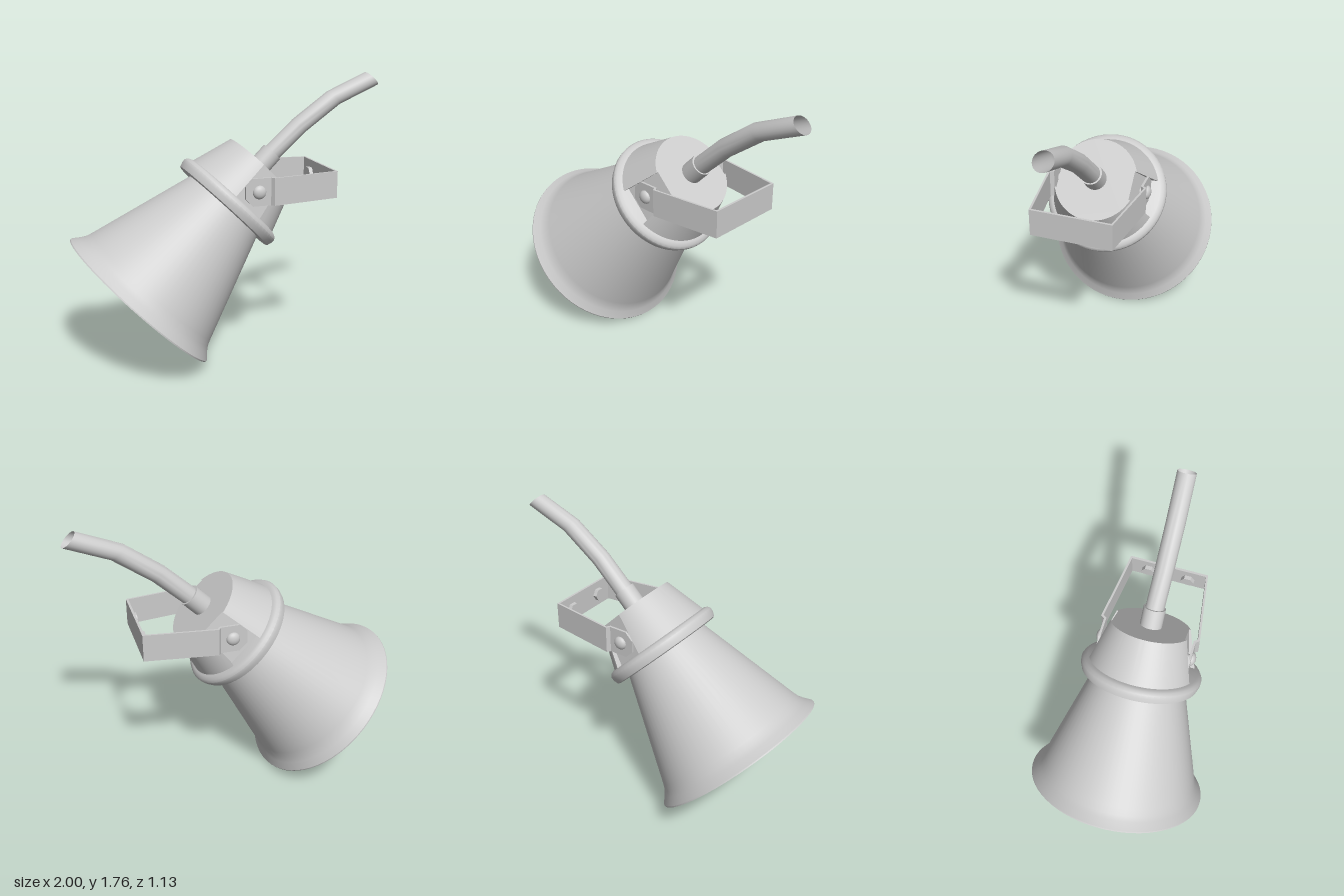
import * as THREE from 'three';
import { toCreasedNormals } from 'three/addons/utils/BufferGeometryUtils.js';

const mat = new THREE.MeshStandardMaterial({ color: 0xcccccc, side: THREE.DoubleSide });

function add(parent, name, geo, x = 0, y = 0, z = 0) {
  const mesh = new THREE.Mesh(geo, mat);
  mesh.name = name;
  mesh.position.set(x, y, z);
  parent.add(mesh);
  return mesh;
}

const lathe = (pts) =>
  toCreasedNormals(new THREE.LatheGeometry(pts.map(([r, y]) => new THREE.Vector2(r, y)), 64), 0.6);

const polygon = (pts) => new THREE.Shape(pts.map(([x, y]) => new THREE.Vector2(x, y)));

// Tapered rear housing with a flat pocket on each side for the bracket
function housingGeometry() {
  const R = 0.335, w = 0.115, floor = 0.275, depth = 0.258;
  const a = Math.asin(w / R), q = Math.PI / 2;
  const s = new THREE.Shape();
  s.absarc(0, 0, R, -q + a, q - a, false);
  s.lineTo(w, floor);
  s.lineTo(-w, floor);
  s.absarc(0, 0, R, q + a, 3 * q - a, false);
  s.lineTo(-w, -floor);
  s.lineTo(w, -floor);
  const geo = new THREE.ExtrudeGeometry(s, { depth, bevelEnabled: false, curveSegments: 32 });
  const p = geo.attributes.position;
  for (let i = 0; i < p.count; i++) {
    const x = p.getX(i), y = p.getY(i), t = p.getZ(i) / depth;
    const onFloor = Math.abs(x) < w + 0.001 && Math.abs(y) < floor + 0.001;
    p.setX(i, x * (1 - 0.25 * t));
    p.setY(i, y * (1 - (onFloor ? 0.18 : 0.25) * t));
  }
  geo.rotateX(-Math.PI / 2);
  return toCreasedNormals(geo, 0.4);
}

// Cable whose round sections all stay parallel while shifting sideways
function cableGeometry() {
  const path = [[-0.003, 1.2, 0], [0.01, 1.488, 0.006], [0.057, 1.768, 0.006], [0.168, 2.035, -0.005]];
  const geo = new THREE.CylinderGeometry(0.058, 0.058, 3, 24, 3, true);
  const p = geo.attributes.position;
  for (let i = 0; i < p.count; i++) {
    const [x, y, z] = path[Math.round(p.getY(i) + 1.5)];
    p.setXYZ(i, p.getX(i) + x, y, p.getZ(i) + z);
  }
  return toCreasedNormals(geo, 0.8);
}

export function createModel() {
  const root = new THREE.Group();
  root.name = 'hornSpeaker';

  // Horn assembly, local y runs from the mouth to the back
  const horn = new THREE.Group();
  horn.name = 'hornAssembly';
  horn.position.set(-0.6, 0.4, 0);
  horn.rotation.z = -Math.PI / 4;
  root.add(horn);

  add(horn, 'bell', lathe([
    [0.26, 0.8], [0.48, 0.12], [0.515, 0.05], [0.553, 0], [0.566, 0],
    [0.566, 0.008], [0.53, 0.05], [0.51, 0.08], [0.495, 0.12], [0.275, 0.81],
  ]));
  add(horn, 'flange', lathe([
    [0, 0.79], [0.355, 0.785], [0.367, 0.79], [0.377, 0.82], [0.378, 0.842],
    [0.367, 0.86], [0.345, 0.87], [0, 0.87],
  ]));
  add(horn, 'rearHousing', housingGeometry(), 0, 0.87, 0);
  add(horn, 'cableCollar', new THREE.CylinderGeometry(0.068, 0.068, 0.13, 32), -0.003, 1.18, 0);
  add(horn, 'cable', cableGeometry());

  // Mounting bracket
  const bracket = new THREE.Group();
  bracket.name = 'bracket';
  root.add(bracket);
  const yMid = 1.103, h = 0.17;

  const half = [[0.15, 0.288], [0.165, 0.288], [0.18, 0.31], [0.62, 0.248]];
  const inner = [[0.606, 0.238], [0.187, 0.296], [0.172, 0.274], [0.15, 0.274]];
  const mirror = (pts) => pts.map(([x, z]) => [x, -z]).reverse();
  const strap = new THREE.ExtrudeGeometry(
    polygon([...half, ...mirror(half), ...mirror(inner), ...inner]),
    { depth: h, bevelEnabled: false });
  strap.rotateX(-Math.PI / 2);
  add(bracket, 'strap', strap, 0, yMid - h / 2, 0);

  const k = h / 2;
  const tip = new THREE.ExtrudeGeometry(
    polygon([[0.16, -k], [0.16, k], [0.05, k], [0.003, 0.038], [0.003, -0.038], [0.05, -k]]),
    { depth: 0.014, bevelEnabled: false });

  for (const side of [1, -1]) {
    add(bracket, 'bracketEnd', tip, 0, yMid, side > 0 ? 0.274 : -0.288);
    // Pivot bolt with a domed head
    const dome = new THREE.SphereGeometry(0.042, 24, 8, 0, Math.PI * 2, 0, Math.PI / 2);
    dome.scale(1, 0.65, 1);
    dome.rotateX(side * Math.PI / 2);
    add(bracket, 'pivotBolt', dome, 0.09, yMid, side * 0.287);
    const pin = new THREE.CylinderGeometry(0.025, 0.025, 0.06, 16);
    pin.rotateX(Math.PI / 2);
    add(bracket, 'pivotPin', pin, 0.09, yMid, side * 0.25);
    // Hex mounting nut on the inside of the back plate
    const nut = new THREE.CylinderGeometry(0.042, 0.042, 0.026, 6).toNonIndexed();
    nut.computeVertexNormals();
    nut.rotateZ(Math.PI / 2);
    add(bracket, 'mountingNut', nut, 0.594, yMid, side * 0.127);
  }
  return root;
}
